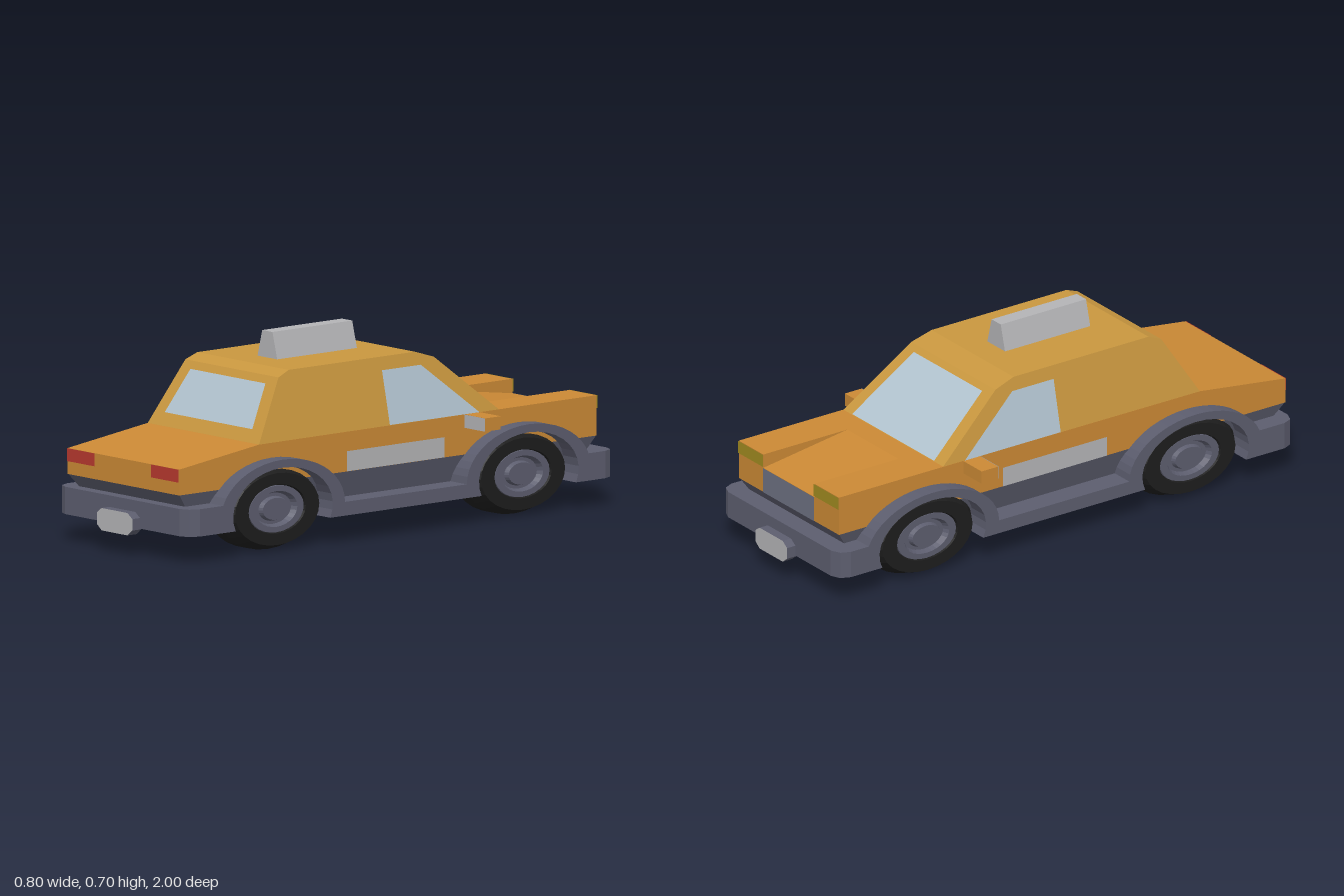
import * as THREE from 'three';

const mat = (color, extra = {}) => new THREE.MeshStandardMaterial({ color, flatShading: true, ...extra });
const PAINT = mat(0xcb8935), CABIN = mat(0xc9973f), TRIM = mat(0x5c5d6e), TYRE = mat(0x1d1d1d);
const PALE = mat(0xb4b4b6, { side: THREE.DoubleSide });
const GLASS = mat(0xb2c4d0, { side: THREE.DoubleSide });
const RED = mat(0xb8382e, { side: THREE.DoubleSide });
const YELLOW = mat(0xa08a20, { side: THREE.DoubleSide });
const GRILLE = mat(0x6d7182, { side: THREE.DoubleSide });

const shapeOf = (pts) => new THREE.Shape(pts.map(([a, b]) => new THREE.Vector2(a, b)));

// Extrudes a (z, y) side profile across x0..x1
function acrossX(pts, x0, x1) {
  const g = new THREE.ExtrudeGeometry(shapeOf(pts), { depth: x1 - x0, bevelEnabled: false });
  return g.rotateY(-Math.PI / 2).translate(x1, 0, 0);
}

// Extrudes an (x, y) profile along z0..z1
function alongZ(pts, z0, z1) {
  return new THREE.ExtrudeGeometry(shapeOf(pts), { depth: z1 - z0, bevelEnabled: false }).translate(0, 0, z0);
}

// Flat four-cornered panel
function quad(a, b, c, d) {
  const g = new THREE.BufferGeometry();
  g.setAttribute('position', new THREE.Float32BufferAttribute([a, b, c, a, c, d].flat(), 3));
  g.computeVertexNormals();
  return g;
}

// Moves every vertex by a rule
function reshape(g, rule) {
  const p = g.attributes.position;
  for (let i = 0; i < p.count; i++) p.setXYZ(i, ...rule(p.getX(i), p.getY(i), p.getZ(i)));
  g.computeVertexNormals();
  return g;
}

// Points of a stretched arch around a wheel centre
function arch(cz, rz, ry, a0, a1) {
  return Array.from({ length: 21 }, (_, i) => {
    const a = a0 + (a1 - a0) * i / 20;
    return [cz + Math.cos(a) * rz, 0.143 + Math.sin(a) * ry];
  });
}

export function createModel() {
  const car = new THREE.Group();
  car.name = 'car';
  const add = (name, geometry, material, parent = car) => {
    const m = new THREE.Mesh(geometry, material);
    m.name = name;
    parent.add(m);
    return m;
  };
  const AXLES = [0.54, -0.57];

  // Lower body, boot and sunken bonnet
  add('lowerBody', acrossX([[0.96, 0.235], [0.96, 0.325], [0.6, 0.372], [-0.57, 0.375], [-0.57, 0.235]], -0.293, 0.293), PAINT);
  add('bonnet', acrossX([[-0.57, 0.235], [-0.57, 0.375], [-0.925, 0.325], [-0.925, 0.235]], -0.15, 0.15), PAINT);
  add('grille', quad([-0.15, 0.235, -0.927], [0.15, 0.235, -0.927], [0.15, 0.325, -0.927], [-0.15, 0.325, -0.927]), GRILLE);

  // Cabin, narrowing towards the roof
  const cabinX = (y) => 0.293 - (y - 0.37) * 0.225;
  const cabin = acrossX([[0.6, 0.37], [0.47, 0.585], [0.42, 0.605], [-0.15, 0.605], [-0.23, 0.58], [-0.49, 0.37]], -1, 1);
  add('cabin', reshape(cabin, (x, y, z) => [x * cabinX(y), y, z]), CABIN);

  // Rear window and windscreen
  const rearZ = (y) => 0.603 - (y - 0.37) * 0.605;
  add('rearWindow', quad([-0.23, 0.415, rearZ(0.415)], [0.23, 0.415, rearZ(0.415)],
    [0.197, 0.56, rearZ(0.56)], [-0.197, 0.56, rearZ(0.56)]), GLASS);
  const screenZ = (y) => -0.495 + (y - 0.37) * 1.238;
  add('windscreen', quad([0.24, 0.378, screenZ(0.378)], [-0.24, 0.378, screenZ(0.378)],
    [-0.2, 0.565, screenZ(0.565)], [0.2, 0.565, screenZ(0.565)]), GLASS);

  // Undercut body base
  const base = new THREE.BoxGeometry(2, 0.095, 2).translate(0, 0.1875, 0);
  add('underbody', reshape(base, (x, y, z) => {
    const low = y < 0.18;
    return [x * (low ? 0.263 : 0.292), y, z > 0 ? (low ? 0.88 : 0.958) : (low ? -0.86 : -0.923)];
  }), TRIM);
  add('floor', new THREE.BoxGeometry(0.3, 0.1, 1.72).translate(0, 0.145, 0), TRIM);

  // Side skirt profile with wheel openings and raised arches
  const P = Math.PI;
  const skirt = [
    [0.86, 0.095],
    ...arch(AXLES[0], 0.225, 0.15, -0.325, P + 0.325),
    ...arch(AXLES[1], 0.225, 0.15, -0.325, P + 0.325),
    [-0.86, 0.095], [-0.86, 0.19],
    ...arch(AXLES[1], 0.28, 0.178, P - 0.267, 0),
    ...arch(AXLES[0], 0.28, 0.178, P, 0.267),
    [0.86, 0.19],
  ];

  // Wheel profiles: radius against width
  const lathe = (pts) => new THREE.LatheGeometry(pts.map(([r, w]) => new THREE.Vector2(r, w)), 28).rotateZ(-P / 2);
  const tyre = lathe([[0, -0.078], [0.125, -0.078], [0.145, -0.027], [0.145, 0.027], [0.125, 0.078], [0.085, 0.078], [0.08, 0.06]]);
  const rim = lathe([[0.083, 0.06], [0.081, 0.074], [0.062, 0.074], [0.054, 0.055], [0.043, 0.055], [0.038, 0.07], [0, 0.07]]);

  // Parts on both sides
  for (const s of [1, -1]) {
    const side = s > 0 ? 'left' : 'right';
    const range = (a, b) => (s > 0 ? [a, b] : [-b, -a]);
    const mid = (a, b) => s * (a + b) / 2;

    add(side + 'Skirt', acrossX(skirt, ...range(0.15, 0.35)), TRIM);
    add(side + 'Wing', acrossX([[-0.57, 0.235], [-0.57, 0.375], [-0.925, 0.375], [-0.925, 0.235]], ...range(0.15, 0.293)), PAINT);

    const wx = (y) => s * (cabinX(y) + 0.003);
    add(side + 'SideWindow', quad([wx(0.375), 0.375, 0.01], [wx(0.375), 0.375, -0.395],
      [wx(0.56), 0.56, -0.165], [wx(0.56), 0.56, 0.01]), GLASS);
    const px = s * 0.296;
    add(side + 'DoorPanel', quad([px, 0.236, 0.205], [px, 0.236, -0.235], [px, 0.306, -0.235], [px, 0.306, 0.205]), PALE);

    // Lamps
    const lamp = (y0, y1, z) => quad([s * 0.148, y0, z], [s * 0.293, y0, z], [s * 0.293, y1, z], [s * 0.148, y1, z]);
    add(side + 'TailLamp', lamp(0.28, 0.325, 0.963), RED);
    add(side + 'HeadLamp', lamp(0.33, 0.375, -0.928), YELLOW);

    // Door mirror
    add(side + 'Mirror', new THREE.BoxGeometry(0.12, 0.046, 0.07).translate(mid(0.28, 0.4), 0.351, -0.365), PAINT);
    add(side + 'MirrorGlass', quad([s * 0.293, 0.328, -0.328], [s * 0.4, 0.328, -0.328],
      [s * 0.4, 0.374, -0.328], [s * 0.293, 0.374, -0.328]), PALE);

    // Wheels, stretched lengthwise to fill the arches
    for (const z of AXLES) {
      const wheel = new THREE.Group();
      wheel.name = side + (z > 0 ? 'RearWheel' : 'FrontWheel');
      wheel.position.set(s * 0.2415, 0.145, z);
      wheel.rotation.y = s > 0 ? 0 : P;
      wheel.scale.z = 1.52;
      add('tyre', tyre, TYRE, wheel);
      add('rim', rim, TRIM, wheel);
      car.add(wheel);
    }
  }

  // Bumpers with chamfered corners and blank plates, one at each end
  const bumper = new THREE.ExtrudeGeometry(shapeOf([[-0.35, 0.85], [0.35, 0.85], [0.35, 0.915], [0.335, 0.95], [0.3, 0.965],
    [-0.3, 0.965], [-0.335, 0.95], [-0.35, 0.915]]), { depth: 0.095, bevelEnabled: false })
    .rotateX(P / 2).translate(0, 0.19, 0);
  const plate = alongZ([[-0.068, 0.072], [0.068, 0.072], [0.093, 0.092], [0.093, 0.132], [0.068, 0.15],
    [-0.068, 0.15], [-0.093, 0.132], [-0.093, 0.092]], 0.96, 1);
  for (const end of ['rear', 'front']) {
    const group = new THREE.Group();
    group.name = end + 'Bumper';
    group.rotation.y = end === 'rear' ? 0 : P;
    add('bumperBar', bumper, TRIM, group);
    add('plate', plate, [PALE, TRIM], group);
    car.add(group);
  }

  // Roof sign
  add('roofSign', alongZ([[-0.053, 0.6], [0.053, 0.6], [0.027, 0.697], [-0.027, 0.697]], -0.05, 0.31), PALE);

  return car;
}
